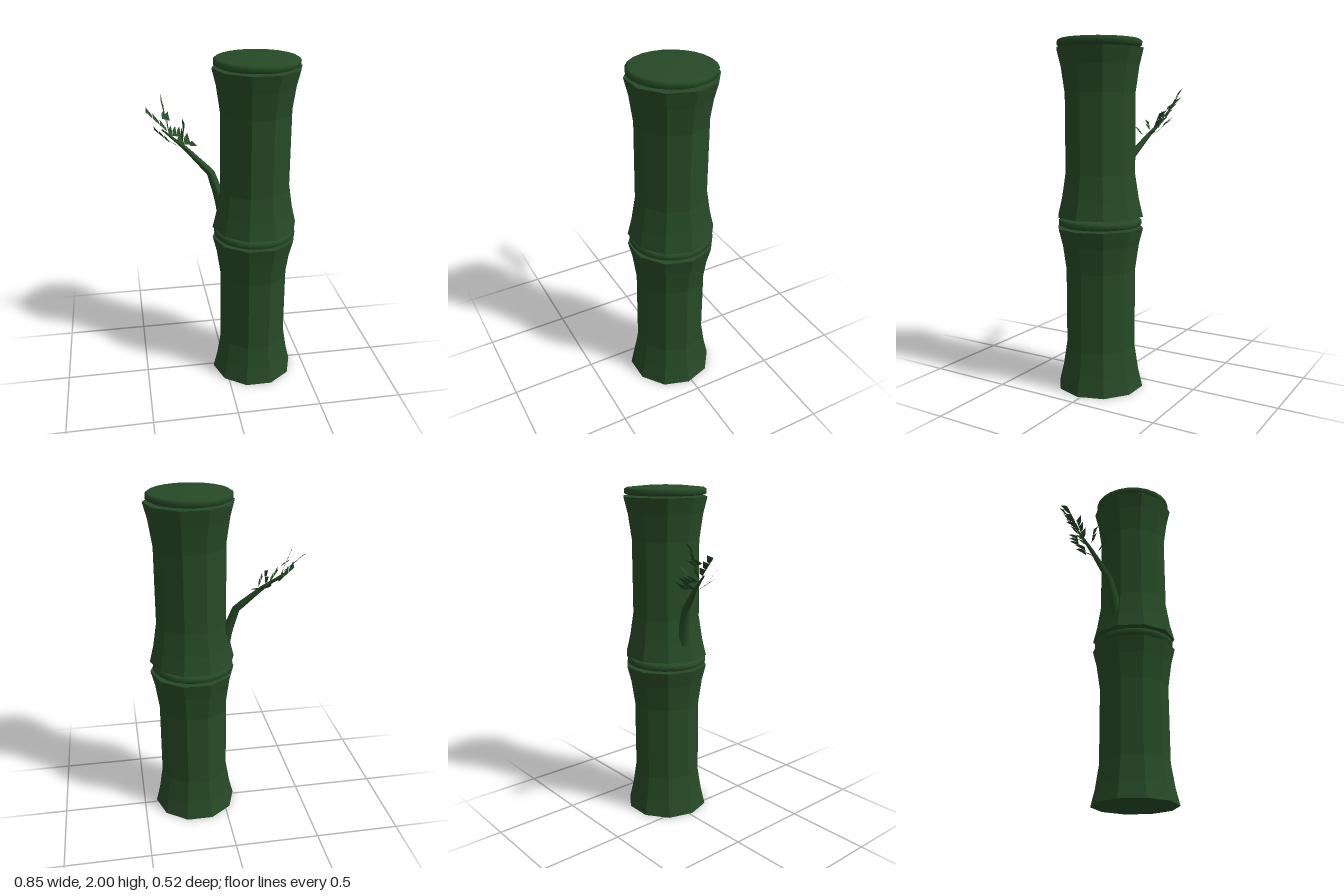
import * as THREE from 'three';

const V = (x, y, z) => new THREE.Vector3(x, y, z);
const pts = (list) => list.map(([r, y]) => new THREE.Vector2(r, y));

export function createModel() {
  const model = new THREE.Group();
  const bamboo = new THREE.MeshStandardMaterial({ color: 0x264a26 });
  bamboo.name = 'bamboo green';
  bamboo.flatShading = true;
  const smooth = bamboo.clone();
  smooth.name = 'smooth bamboo green';
  smooth.flatShading = false;
  const leafGreen = smooth.clone();
  leafGreen.name = 'leaf green';
  leafGreen.side = THREE.DoubleSide;

  const add = (name, geometry, material, x = 0, y = 0, z = 0) => {
    const mesh = new THREE.Mesh(geometry, material);
    mesh.name = name;
    mesh.position.set(x, y, z);
    model.add(mesh);
  };

  // Two ten-sided stalk sections with flared ends, each topped by a domed disc
  const section = new THREE.LatheGeometry(pts([
    [0, 0], [0.25, 0], [0.226, 0.1], [0.204, 0.24], [0.204, 0.69],
    [0.226, 0.84], [0.25, 0.935], [0, 0.935],
  ]), 10, Math.PI / 2);
  const disc = new THREE.LatheGeometry(pts([
    [0, 0], [0.222, 0], [0.222, 0], [0.237, 0.008], [0.237, 0.032],
    [0.225, 0.04], [0.225, 0.04], [0.12, 0.05], [0, 0.056],
  ]), 24);
  for (const y of [0, 1]) {
    add('stalkSection', section, bamboo, 0.175, y, 0.02);
    add('nodeDisc', disc, smooth, 0.172, y + 0.944, 0.022);
  }

  // Side branch: a tapering tube that leaves the stalk and bends outward
  const path = new THREE.CurvePath();
  const knots = [
    V(0.0, 1.04, 0.0), V(-0.03, 1.18, -0.015), V(-0.075, 1.32, -0.035),
    V(-0.21, 1.455, -0.09), V(-0.34, 1.56, -0.14),
  ];
  for (let i = 1; i < knots.length; i++) path.add(new THREE.LineCurve3(knots[i - 1], knots[i]));
  const rows = 16, sides = 8;
  const branch = new THREE.TubeGeometry(path, rows, 1, sides);
  const pos = branch.attributes.position;
  for (let i = 0; i < pos.count; i++) {
    const t = Math.floor(i / (sides + 1)) / rows;
    const c = path.getPointAt(t);
    const p = V(0, 0, 0).fromBufferAttribute(pos, i).sub(c);
    p.multiplyScalar(0.034 * (1 - t) + 0.004).add(c);
    pos.setXYZ(i, p.x, p.y, p.z);
  }
  branch.computeVertexNormals();
  add('branch', branch, smooth);

  // Leaf sprays: a row of flat pointed blades along the line from a to b
  const spray = (a, b, blade, count) => {
    const out = [];
    const step = b.clone().sub(a).divideScalar(count);
    for (let i = 0; i < count; i++) {
      const p = a.clone().addScaledVector(step, i);
      const q = p.clone().add(step);
      const tip = p.clone().addScaledVector(step, 0.95).add(blade);
      const shoulder = p.clone().addScaledVector(step, 0.15).addScaledVector(blade, 0.55);
      for (const v of [p, q, tip, p, tip, shoulder]) out.push(...v.toArray());
    }
    const g = new THREE.BufferGeometry();
    g.setAttribute('position', new THREE.Float32BufferAttribute(out, 3));
    g.computeVertexNormals();
    add('leafSpray', g, leafGreen);
  };
  spray(V(-0.31, 1.55, -0.125), V(-0.425, 1.66, -0.155), V(0, 0.02, -0.045), 3);
  spray(V(-0.30, 1.53, -0.135), V(-0.335, 1.71, -0.225), V(0.005, 0.03, -0.035), 4);
  spray(V(-0.335, 1.62, -0.15), V(-0.29, 1.6, -0.165), V(-0.005, 0.04, -0.06), 2);
  spray(V(-0.30, 1.52, -0.145), V(-0.225, 1.5, -0.17), V(-0.005, 0.045, -0.06), 3);
  spray(V(-0.25, 1.47, -0.12), V(-0.175, 1.46, -0.145), V(-0.01, 0.05, -0.065), 2);
  spray(V(-0.18, 1.46, -0.12), V(-0.14, 1.46, -0.11), V(-0.025, 0.02, -0.04), 1);
  spray(V(-0.225, 1.49, -0.11), V(-0.205, 1.58, -0.16), V(-0.01, 0.02, -0.045), 2);
  spray(V(-0.30, 1.49, -0.105), V(-0.385, 1.57, -0.11), V(-0.005, 0.03, 0.03), 3);
  spray(V(-0.26, 1.48, -0.07), V(-0.315, 1.53, -0.03), V(-0.005, 0.015, 0.03), 2);
  spray(V(-0.2, 1.45, -0.055), V(-0.235, 1.49, 0), V(0, 0.015, 0.03), 2);

  return model;
}
